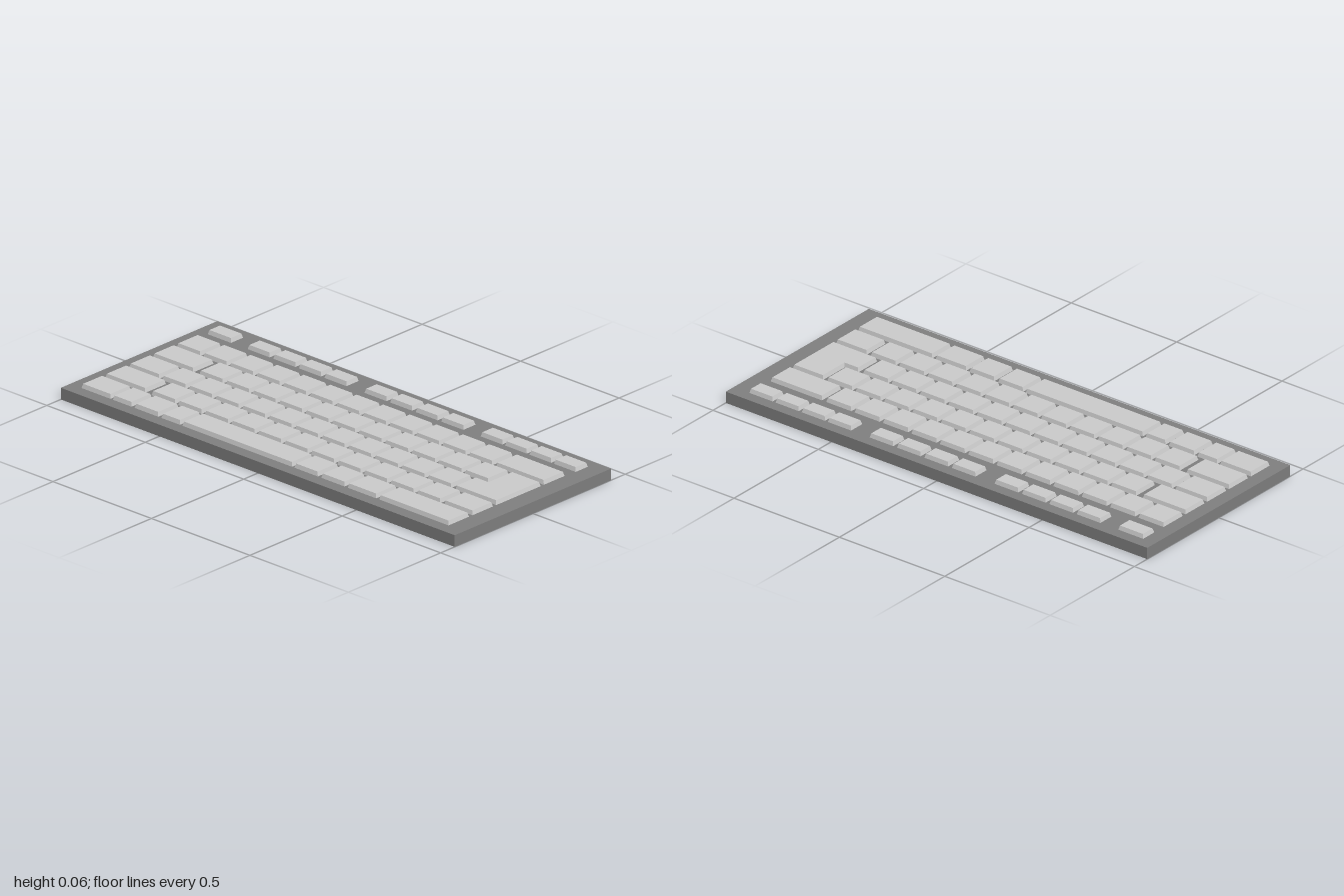
import * as THREE from 'three';

const CASE_TOP = 0.047, KEY_TOP = 0.064, INSET = 0.0045;

// Tapered cap from a right-angled outline [x, -z], counter-clockwise seen from above
function keyGeometry(outline) {
  const pts = outline.map(([x, y]) => new THREE.Vector2(x, y));
  const n = pts.length;
  const inward = (a, b) => new THREE.Vector2(a.y - b.y, b.x - a.x).normalize();
  const top = pts.map((p, i) => p.clone()
    .addScaledVector(inward(pts[(i + n - 1) % n], p), INSET)
    .addScaledVector(inward(p, pts[(i + 1) % n]), INSET));
  const pos = [];
  const put = (p, h) => pos.push(p.x, h, -p.y);
  for (const face of THREE.ShapeUtils.triangulateShape(top, []))
    for (const i of face) put(top[i], KEY_TOP);
  for (let i = 0; i < n; i++) {
    const j = (i + 1) % n;
    put(pts[i], CASE_TOP); put(pts[j], CASE_TOP); put(top[j], KEY_TOP);
    put(pts[i], CASE_TOP); put(top[j], KEY_TOP); put(top[i], KEY_TOP);
  }
  const g = new THREE.BufferGeometry();
  g.setAttribute('position', new THREE.Float32BufferAttribute(pos, 3));
  g.computeVertexNormals();
  return g;
}

// Evenly pitched run of keys as [left, right] pairs
const run = (start, count, pitch = 0.1347, width = 0.119) =>
  Array.from({ length: count }, (_, i) => [start + i * pitch, start + i * pitch + width]);

export function createModel() {
  const model = new THREE.Group();
  model.name = 'keyboard';
  const caseMat = new THREE.MeshStandardMaterial({ color: 0x808080 });
  caseMat.name = 'case grey';
  const keyMat = new THREE.MeshStandardMaterial({ color: 0xcccccc });
  keyMat.name = 'key light grey';

  // Case slab
  const slab = new THREE.Mesh(new THREE.BoxGeometry(2, CASE_TOP, 0.848), caseMat);
  slab.position.y = CASE_TOP / 2;
  slab.name = 'case';
  model.add(slab);

  // Rows from back to front: name, back z, front z, key spans
  const L = -0.943, R = 0.921;
  const rows = [
    ['functionRow', -0.377, -0.311, [[L, -0.825], ...run(-0.74, 4, 0.13, 0.112),
      ...run(-0.147, 4, 0.13, 0.112), ...run(0.443, 4, 0.1242, 0.11)]],
    ['numberRow', -0.256, -0.143, [...run(L, 12), [0.678, R]]],
    ['upperLetterRow', -0.126, -0.014, [[L, -0.74], ...run(-0.708, 11)]],
    ['homeRow', 0.003, 0.115, [[L, -0.791], ...run(-0.775, 11)]],
    ['lowerLetterRow', 0.132, 0.244, [[L, -0.74], ...run(-0.708, 11), [0.777, R]]],
    ['spaceRow', 0.262, 0.373, [[L, -0.796], [-0.783, -0.689], [-0.673, -0.553],
      [-0.537, -0.443], [-0.43, 0.126], [0.139, 0.257], [0.275, 0.393],
      [0.409, 0.554], [0.569, R]]],
  ];
  for (const [name, back, front, spans] of rows) {
    const row = new THREE.Group();
    row.name = name;
    for (const [a, b] of spans) {
      const key = new THREE.Mesh(
        keyGeometry([[a, -front], [b, -front], [b, -back], [a, -back]]), keyMat);
      key.name = 'key';
      row.add(key);
    }
    model.add(row);
  }

  // L-shaped enter key across two rows
  const enter = new THREE.Mesh(keyGeometry([
    [0.713, -0.115], [R, -0.115], [R, 0.126], [0.777, 0.126], [0.777, -0.003], [0.713, -0.003],
  ]), keyMat);
  enter.name = 'enterKey';
  model.add(enter);
  return model;
}
